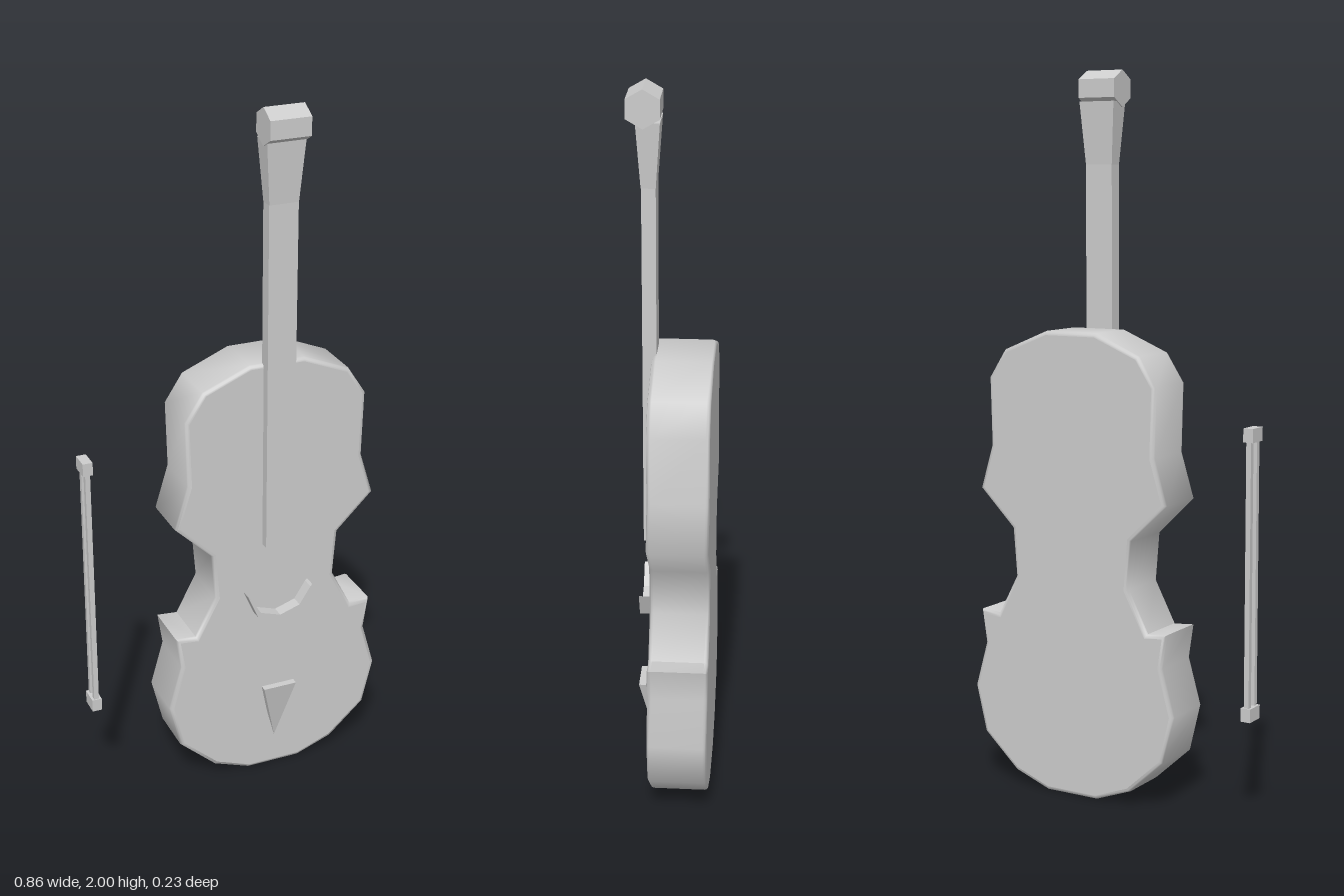
import * as THREE from 'three';
import { toCreasedNormals } from 'three/addons/utils/BufferGeometryUtils.js';

const AXIS = 0.1025; // x of the instrument's centre line

export function createModel() {
  const model = new THREE.Group();
  model.name = 'fiddleAndBow';
  const grey = new THREE.MeshStandardMaterial({ color: 0xcccccc });
  grey.name = 'light grey';

  function add(parent, name, geometry, x = 0, y = 0, z = 0) {
    const mesh = new THREE.Mesh(geometry, grey);
    mesh.name = name;
    mesh.position.set(x, y, z);
    parent.add(mesh);
    return mesh;
  }

  // Shape mirrored about x = 0 from its right-hand half
  function mirroredShape(half) {
    const left = half.filter(([x]) => x > 0).map(([x, y]) => [-x, y]).reverse();
    return new THREE.Shape([...half, ...left].map(([x, y]) => new THREE.Vector2(x, y)));
  }

  const fiddle = new THREE.Group();
  fiddle.name = 'fiddle';
  fiddle.position.x = AXIS;
  model.add(fiddle);

  // Body: waisted outline with a small rounded rim
  const outline = mirroredShape([
    [0.08, 1.296], [0.215, 1.24], [0.267, 1.16], [0.262, 0.97], [0.3, 0.845],
    [0.193, 0.74], [0.182, 0.605], [0.242, 0.49], [0.302, 0.495], [0.288, 0.4],
    [0.325, 0.27], [0.293, 0.137], [0.187, 0.04], [0.08, 0.0],
  ]);
  const rim = 0.011;
  let body = new THREE.ExtrudeGeometry(outline, {
    depth: 0.163 - 2 * rim, bevelThickness: rim, bevelSize: rim, bevelOffset: -rim, bevelSegments: 3,
  });
  body.translate(0, 0, -0.115 + rim);
  const caps = body.groups[0];
  body = toCreasedNormals(body, 1.15);
  // Keep the front and back plates flat
  for (let i = caps.start; i < caps.start + caps.count; i++) {
    body.attributes.normal.setXYZ(i, 0, 0, body.attributes.position.getZ(i) > 0 ? 1 : -1);
  }
  add(fiddle, 'body', body);

  // Fingerboard, running from the belly up past the body
  add(fiddle, 'fingerboard', new THREE.BoxGeometry(0.083, 0.995, 0.037), 0, 1.2475, 0.0555);

  // Neck flaring up to the head
  const neck = new THREE.BoxGeometry(1, 0.17, 1);
  const p = neck.attributes.position;
  for (let i = 0; i < p.count; i++) {
    const top = p.getY(i) > 0;
    p.setX(i, p.getX(i) * (top ? 0.109 : 0.083));
    p.setZ(i, p.getZ(i) * (top ? 0.062 : 0.038));
  }
  neck.computeVertexNormals();
  add(fiddle, 'neck', neck, 0, 1.83, 0.056);

  // Head: hexagonal bar lying across the neck, ridge upwards
  const head = new THREE.CylinderGeometry(0.05, 0.05, 0.114, 6).toNonIndexed();
  head.rotateZ(Math.PI / 2);
  head.computeVertexNormals();
  // Turn a ridge to the top
  head.computeBoundingBox();
  if (head.boundingBox.max.y < 0.049) head.rotateX(Math.PI / 6);
  add(fiddle, 'head', head, 0, 1.95, 0.068);

  // Bridge: crescent standing on the belly
  const crescent = mirroredShape([
    [0, 0.511], [0.068, 0.536], [0.099, 0.608], [0.093, 0.602], [0.06, 0.55], [0, 0.53],
  ]);
  add(fiddle, 'bridge', new THREE.ExtrudeGeometry(crescent, { depth: 0.045, bevelEnabled: false }), 0, 0, 0.039);

  // Tailpiece: triangular slab sloping down into the belly
  const wedge = new THREE.ExtrudeGeometry(mirroredShape([[0, 0.1], [0.05, 0.292]]), { depth: 0.02, bevelEnabled: false });
  const w = wedge.attributes.position;
  for (let i = 0; i < w.count; i++) {
    w.setZ(i, w.getZ(i) + 0.03 + (w.getY(i) - 0.1) * 0.21);
  }
  wedge.computeVertexNormals();
  add(fiddle, 'tailpiece', wedge);

  // Bow: stick and hair held between two end blocks
  const bow = new THREE.Group();
  bow.name = 'bow';
  bow.position.set(-0.42, 0.6725, -0.045);
  model.add(bow);
  for (const s of [-1, 1]) {
    add(bow, s > 0 ? 'bowTip' : 'bowFrog', new THREE.BoxGeometry(0.028, 0.037, 0.056), 0, s * 0.374, 0);
    add(bow, s > 0 ? 'bowStick' : 'bowHair', new THREE.BoxGeometry(0.014, 0.72, 0.014), 0, 0, s * 0.017);
  }
  return model;
}
